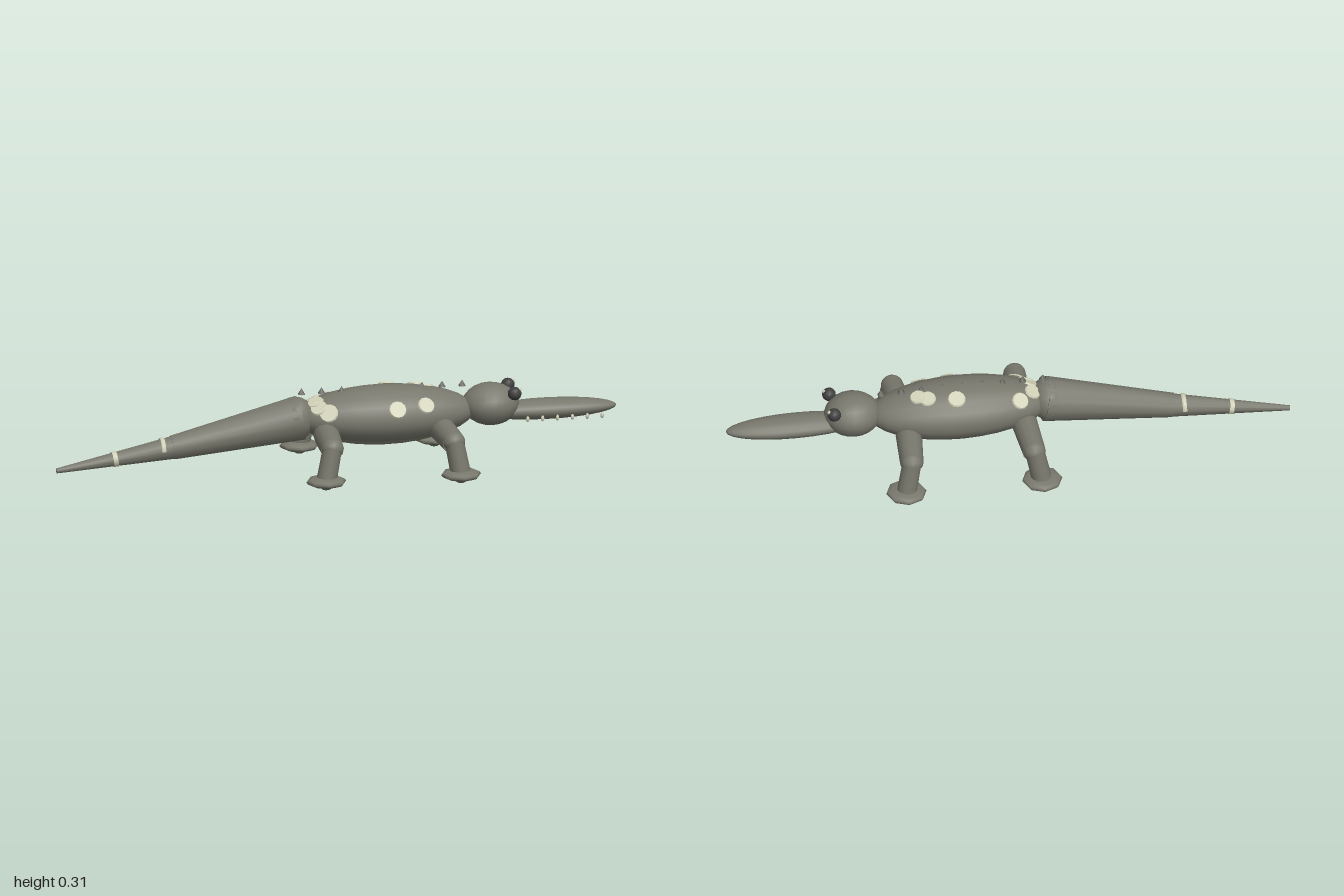
import * as THREE from 'three';

export function createModel() {
  const model = new THREE.Group();
  const paint = (name, color) => {
    const m = new THREE.MeshStandardMaterial({ color });
    m.name = name;
    return m;
  };
  const hide = paint('greyOliveHide', 0x78786d);
  const bellyHide = paint('paleBelly', 0x838375);
  const cream = paint('creamSpots', 0xd0d0b8);
  const dark = paint('darkEyes', 0x3f3f40);
  const spikeGrey = paint('spikeGrey', 0x64645d);

  const add = (name, geo, mat, x = 0, y = 0, z = 0) => {
    const mesh = new THREE.Mesh(geo, mat);
    mesh.name = name;
    mesh.position.set(x, y, z);
    model.add(mesh);
    return mesh;
  };
  // Ellipsoid with its poles along x
  const ellipsoid = (name, mat, c, r, seg = 16, rings = 12) =>
    add(name, new THREE.SphereGeometry(1, seg, rings).rotateZ(Math.PI / 2).scale(...r), mat, ...c);
  // Tapered round piece between two points
  const limb = (name, mat, a, b, ra, rb, seg = 12) => {
    const p = new THREE.Vector3(...a), q = new THREE.Vector3(...b);
    const d = q.clone().sub(p);
    const mesh = add(name, new THREE.CylinderGeometry(rb, ra, d.length(), seg), mat);
    mesh.position.copy(p).add(q).multiplyScalar(0.5);
    mesh.quaternion.setFromUnitVectors(new THREE.Vector3(0, 1, 0), d.normalize());
    return mesh;
  };

  // Body and belly
  const C = [0.17, 0.2, 0], R = [0.32, 0.102, 0.128];
  ellipsoid('body', hide, C, R, 18, 16);
  ellipsoid('belly', bellyHide, [0.17, 0.172, 0], [0.27, 0.079, 0.108], 18, 14);

  // Head and long snout
  ellipsoid('head', hide, [0.548, 0.215, 0], [0.1, 0.075, 0.092]);
  ellipsoid('snout', hide, [0.747, 0.187, 0], [0.249, 0.036, 0.058], 16, 14);

  // Row of teeth along the left of the jaw
  for (let i = 0; i < 6; i++) {
    ellipsoid('tooth', cream, [0.67 + i * 0.053, 0.166, 0.055], [0.006, 0.011, 0.006], 8, 6);
  }

  // Eyes with a pale glint
  for (const s of [1, -1]) {
    ellipsoid('eye', dark, [0.622, 0.263, s * 0.06], [0.024, 0.024, 0.024], 14, 10);
    ellipsoid('eyeGlint', cream, [0.638, 0.275, s * 0.061], [0.008, 0.008, 0.008], 8, 6);
  }

  // Tail in two tapering lengths
  ellipsoid('tailBase', hide, [-0.145, 0.199, 0], [0.065, 0.078, 0.078], 14, 10);
  limb('tailFront', hide, [-0.13, 0.2, 0], [-0.585, 0.117, 0], 0.08, 0.043);
  limb('tailEnd', hide, [-0.57, 0.119, 0], [-0.998, 0.055, 0], 0.042, 0.009);

  // Pale tail bands: a full ring and a half ring over the top
  limb('tailBand', cream, [-0.782, 0.088, 0], [-0.798, 0.0855, 0], 0.0285, 0.0275);
  add('tailSaddle', new THREE.TorusGeometry(0.038, 0.004, 6, 14, Math.PI).rotateY(Math.PI / 2).scale(2.2, 1, 1),
    cream, -0.622, 0.113, 0);

  // Spikes along the back
  for (let i = 0; i < 9; i++) {
    add('backSpike', new THREE.ConeGeometry(0.014, 0.022, 6), spikeGrey, -0.125 + i * 0.0715, 0.296, 0);
  }

  // Flat spots laid on the body: x, angle from the top towards +z, radius
  const spots = [
    [0.195, 1.14, 0.032], [0.3, 1.02, 0.031], [-0.045, 1.1, 0.034], [-0.075, 0.75, 0.031], [-0.08, 0.32, 0.03],
    [-0.085, -0.37, 0.03], [-0.035, -0.8, 0.031], [0.19, -0.55, 0.032], [0.29, -0.42, 0.03], [0.322, -0.3, 0.029],
  ];
  for (const [x, angle, r] of spots) {
    const f = Math.sqrt(1 - ((x - C[0]) / R[0]) ** 2);
    const y = f * R[1] * Math.cos(angle), z = f * R[2] * Math.sin(angle);
    const n = new THREE.Vector3((x - C[0]) / R[0] ** 2, y / R[1] ** 2, z / R[2] ** 2).normalize();
    const spot = add('spot', new THREE.CylinderGeometry(r * 0.9, r, 0.006, 12), cream, x, C[1] + y, z);
    spot.position.addScaledVector(n, 0.001);
    spot.quaternion.setFromUnitVectors(new THREE.Vector3(0, 1, 0), n);
  }

  // Four sprawling legs: hip, knee and foot x
  for (const [leg, hip, knee, foot] of [['front', 0.36, 0.373, 0.395], ['hind', -0.05, -0.06, -0.085]]) {
    for (const s of [1, -1]) {
      limb(leg + 'UpperLeg', hide, [hip, 0.153, s * 0.07], [knee, 0.144, s * 0.225], 0.046, 0.041);
      ellipsoid(leg + 'Knee', hide, [knee, 0.148, s * 0.225], [0.039, 0.037, 0.037], 12, 10);
      limb(leg + 'LowerLeg', hide, [knee, 0.152, s * 0.229], [foot, 0.03, s * 0.242], 0.034, 0.036);
      add(leg + 'Foot', new THREE.SphereGeometry(1, 8, 8).scale(0.071, 0.019, 0.071), hide, foot, 0.033, s * 0.241);
      add(leg + 'Sole', new THREE.SphereGeometry(1, 10, 6).scale(0.026, 0.019, 0.026), hide, foot, 0.021, s * 0.241);
    }
  }

  return model;
}
